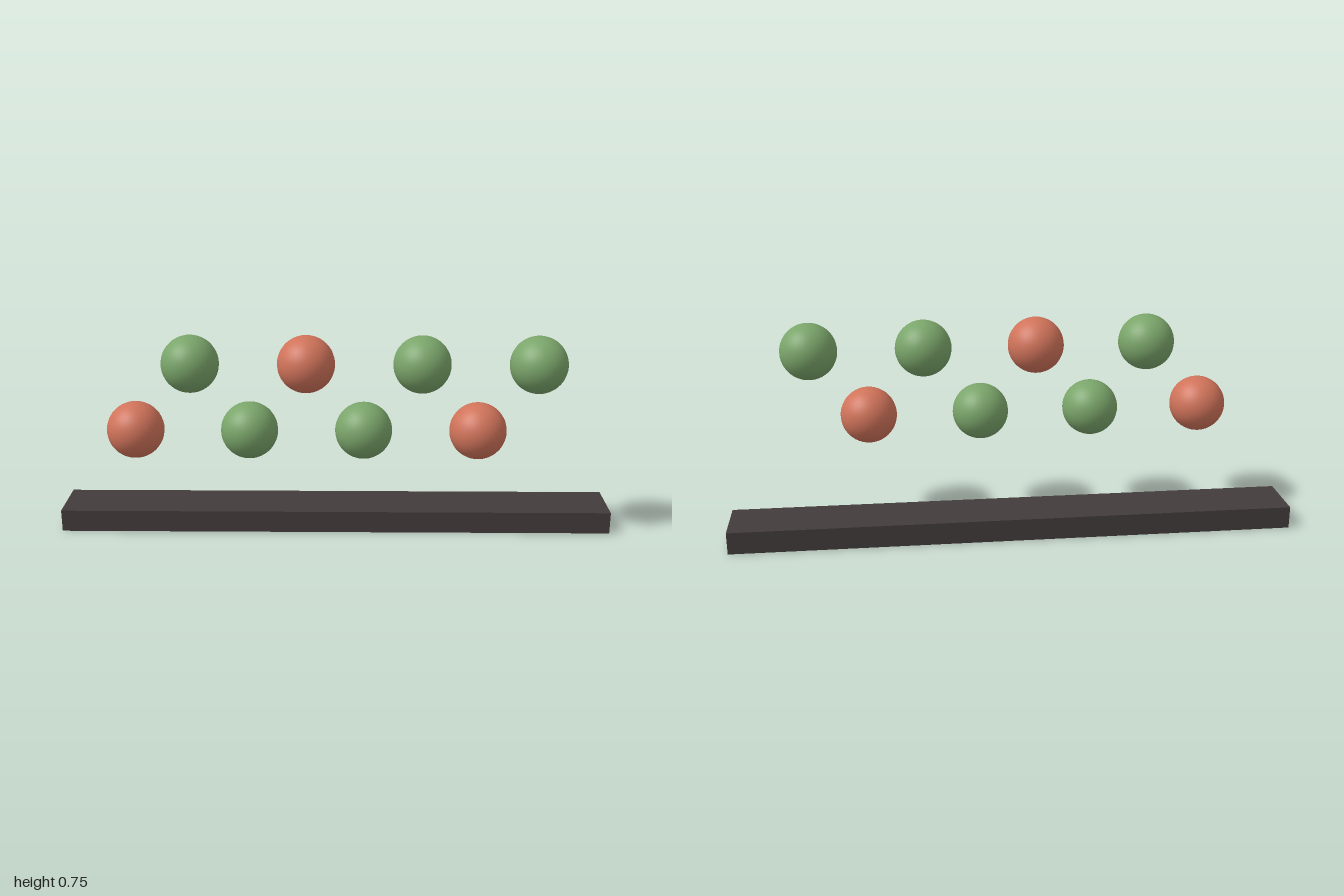
import * as THREE from 'three';

const material = (name, color) => {
  const m = new THREE.MeshStandardMaterial({ color });
  m.name = name;
  return m;
};

export function createModel() {
  const group = new THREE.Group();
  group.name = 'ballRail';
  const charcoal = material('charcoal', 0x433b3b);
  const green = material('leaf green', 0x7aa56a);
  const red = material('terracotta', 0xd0735a);

  const add = (name, geometry, mat, x, y, z) => {
    const mesh = new THREE.Mesh(geometry, mat);
    mesh.name = name;
    mesh.position.set(x, y, z);
    group.add(mesh);
  };

  // Long flat rail
  add('rail', new THREE.BoxGeometry(2, 0.08, 0.2), charcoal, 0, 0.04, -0.07);

  // Zigzag row of balls: every second one is raised, every third one is red
  const ball = new THREE.SphereGeometry(0.1, 32, 24);
  for (let i = 0; i < 8; i++) {
    add(`ball${i + 1}`, ball, i % 3 ? green : red, -0.7 + i * 0.2, i % 2 ? 0.65 : 0.41, 0.07);
  }
  return group;
}
